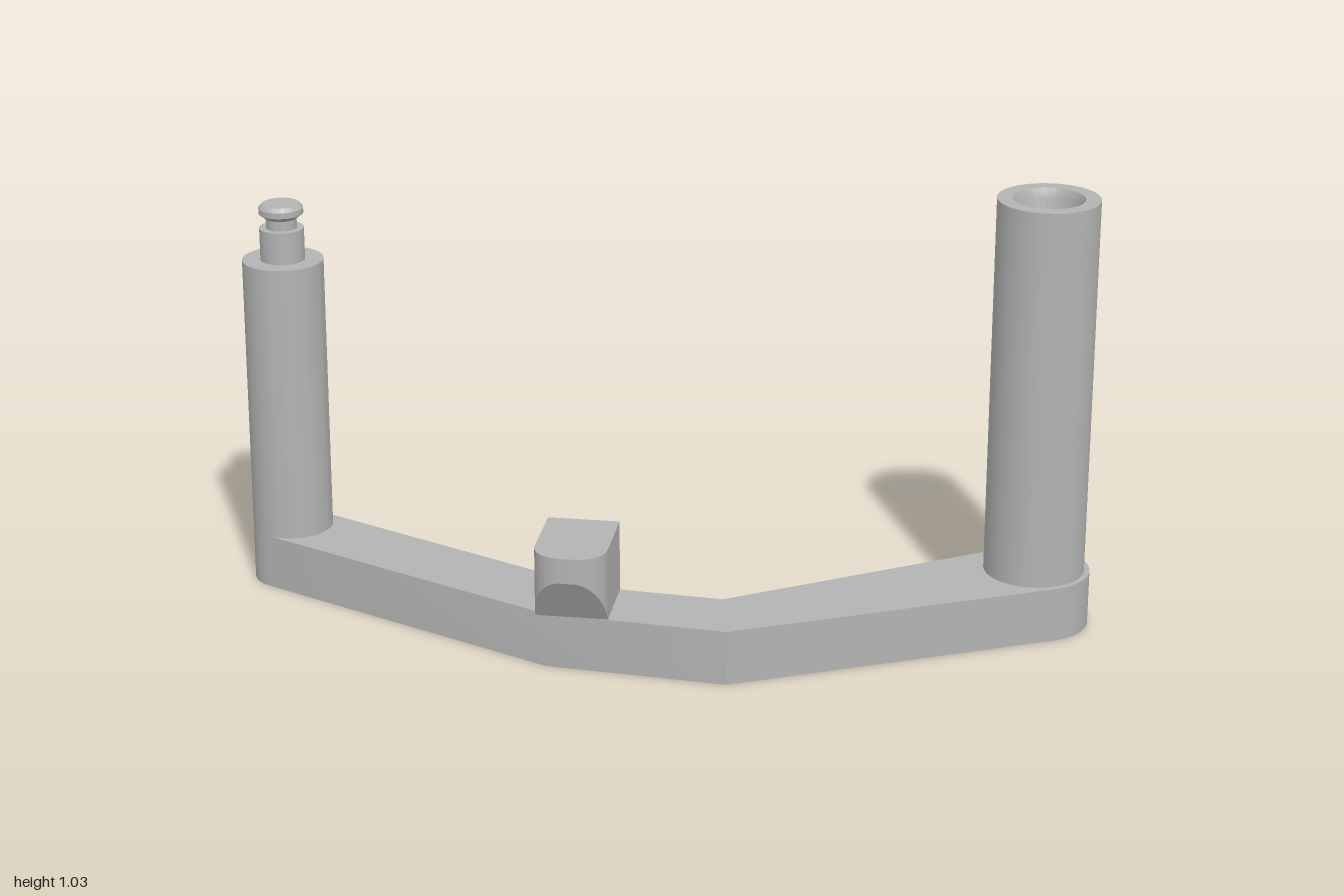
import * as THREE from 'three';
import { toCreasedNormals } from 'three/addons/utils/BufferGeometryUtils.js';

const ARM_TOP = 0.13;
const TUBE = { x: 0.87, z: -0.19, boss: 0.13, outer: 0.117, bore: 0.073, mouth: 0.082 };
const POST = { x: -0.905, z: -0.195, r: 0.095 };
const rad = THREE.MathUtils.degToRad;

// Extrude a plan drawn in (x, z) upward from y0 to y1
function slab(shape, y0, y1) {
  const g = new THREE.ExtrudeGeometry(shape, { depth: y1 - y0, bevelEnabled: false, curveSegments: 32 });
  return g.rotateX(Math.PI / 2).translate(0, y1, 0);
}

function turned(points) {
  return new THREE.LatheGeometry(points.map(([r, y]) => new THREE.Vector2(r, y)), 64);
}

export function createModel() {
  const model = new THREE.Group();
  model.name = 'bentArmBracket';
  const grey = new THREE.MeshStandardMaterial({ color: 0xb3b3b3 });
  grey.name = 'plain grey';

  const add = (name, geometry, x = 0, z = 0) => {
    const mesh = new THREE.Mesh(toCreasedNormals(geometry, rad(25)), grey);
    mesh.name = name;
    mesh.position.set(x, 0, z);
    model.add(mesh);
  };

  // Bent arm with a round end under each upright
  const plan = new THREE.Shape();
  plan.absarc(POST.x, POST.z, POST.r, rad(115), rad(295), false);
  plan.lineTo(-0.123, 0.075);
  plan.lineTo(0.177, 0.10);
  plan.absarc(TUBE.x, TUBE.z, TUBE.boss, rad(237.3), rad(423.7), false);
  plan.lineTo(0.21, 0.278);
  plan.lineTo(-0.21, 0.24);
  plan.closePath();
  const hole = new THREE.Path();
  hole.absarc(TUBE.x, TUBE.z, TUBE.mouth, 0, Math.PI * 2, true);
  plan.holes.push(hole);
  add('arm', slab(plan, 0, ARM_TOP));

  // Hollow tube, bored through the arm, with chamfered mouths
  add('tube', turned([
    [TUBE.outer, ARM_TOP], [TUBE.outer, 1.03], [TUBE.mouth, 1.03],
    [TUBE.bore, 1.01], [TUBE.bore, 0.02], [TUBE.mouth, 0],
  ]), TUBE.x, TUBE.z);

  // Solid post with a grooved pin on top
  add('post', turned([[POST.r, ARM_TOP], [POST.r, 0.8], [0.05, 0.8]]), POST.x, POST.z);
  add('pin', turned([
    [0.052, 0.8], [0.052, 0.877], [0.036, 0.877], [0.036, 0.9],
    [0.052, 0.912], [0.052, 0.926], [0.044, 0.935], [0, 0.935],
  ]), POST.x, POST.z);

  // Stop block: straight body
  const x0 = -0.23, x1 = -0.064, back = 0.082, fold = 0.25, front = 0.317, top = 0.3;
  const body = new THREE.BoxGeometry(x1 - x0, top - ARM_TOP, fold - back);
  body.translate((x0 + x1) / 2, (top + ARM_TOP) / 2, (fold + back) / 2);
  add('stopBlock', body);

  // Stop block: rounded nose, its underside sloping up to the front
  const r = front - fold;
  const nose = new THREE.Shape();
  nose.moveTo(x0, fold);
  nose.lineTo(x1, fold);
  nose.absarc(x1 - r, fold, r, 0, Math.PI / 2, false);
  nose.absarc(x0 + r, fold, r, Math.PI / 2, Math.PI, false);
  const noseGeometry = slab(nose, ARM_TOP, top);
  const p = noseGeometry.attributes.position;
  for (let i = 0; i < p.count; i++) {
    if (p.getY(i) < top - 0.01) p.setY(i, ARM_TOP + (p.getZ(i) - fold) * (0.11 / r));
  }
  add('stopNose', noseGeometry);

  return model;
}
